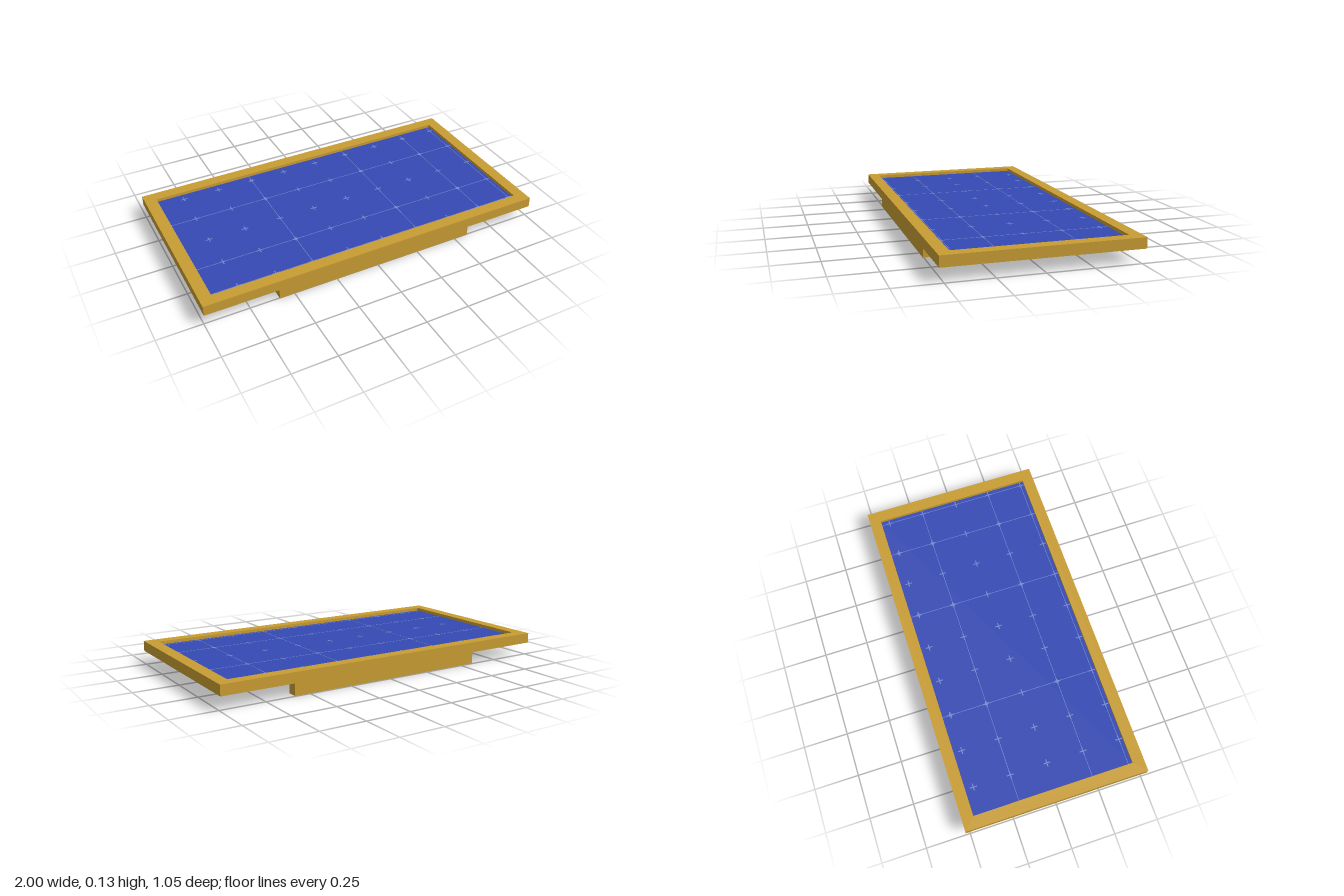
import * as THREE from 'three';

export function createModel() {
  const model = new THREE.Group();
  const wood = new THREE.MeshStandardMaterial({ color: 0xc99d33 });
  wood.name = 'golden wood';
  const blue = new THREE.MeshStandardMaterial({ color: 0x3549b4 });
  blue.name = 'blue panel';
  const pale = new THREE.MeshStandardMaterial({ color: 0x7388d0 });
  pale.name = 'pale blue markings';

  const HX = 1, HZ = 0.523;          // outer half sizes
  const IX = 0.933, IZ = 0.457;      // inner half sizes of the recess
  const BOTTOM = 0.075, TOP = 0.133, PANEL = 0.115;

  function box(name, material, size, position, parent = model) {
    const mesh = new THREE.Mesh(new THREE.BoxGeometry(...size), material);
    mesh.name = name;
    mesh.position.set(...position);
    parent.add(mesh);
    return mesh;
  }

  function rectangle(path, x, z) {
    return path.moveTo(-x, -z).lineTo(x, -z).lineTo(x, z).lineTo(-x, z).closePath();
  }

  // Raised rim around the recess
  const outline = rectangle(new THREE.Shape(), HX, HZ);
  outline.holes.push(rectangle(new THREE.Path(), IX, IZ));
  const rimGeometry = new THREE.ExtrudeGeometry(outline, { depth: TOP - BOTTOM, bevelEnabled: false });
  rimGeometry.rotateX(-Math.PI / 2);
  const rim = new THREE.Mesh(rimGeometry, wood);
  rim.name = 'rim';
  rim.position.y = BOTTOM;
  model.add(rim);

  // Wooden underside and the sunken blue panel on it
  const floorHeight = PANEL - 0.008 - BOTTOM;
  box('baseBoard', wood, [IX * 2, floorHeight, IZ * 2], [0, BOTTOM + floorHeight / 2, 0]);
  box('panel', blue, [IX * 2, 0.008, IZ * 2], [0, PANEL - 0.004, 0]);

  // Two long runners underneath
  box('frontRunner', wood, [1.17, BOTTOM, 0.056], [0, BOTTOM / 2, 0.476]);
  box('backRunner', wood, [1.17, BOTTOM, 0.056], [0, BOTTOM / 2, -0.468]);

  // Flat markings, clipped at the edges of the panel
  const markings = new THREE.Group();
  markings.name = 'markings';
  model.add(markings);
  function mark(name, x, z, w, d) {
    const x0 = Math.max(x - w / 2, -IX), x1 = Math.min(x + w / 2, IX);
    const z0 = Math.max(z - d / 2, -IZ), z1 = Math.min(z + d / 2, IZ);
    box(name, pale, [x1 - x0, 0.001, z1 - z0], [(x0 + x1) / 2, PANEL + 0.0005, (z0 + z1) / 2], markings);
  }

  // Grid of small crosses, some with a diamond at the centre
  const columns = Array.from({ length: 9 }, (_, i) => -0.784 + i * 0.2118);
  const rows = Array.from({ length: 5 }, (_, i) => -0.41 + i * 0.2115);
  columns.forEach((x, i) => rows.forEach((z, j) => {
    mark('crossBar', x, z, 0.04, 0.006);
    mark('crossBar', x, z, 0.006, 0.04);
    if ([2, 5, 7].includes(i) && [0, 1, 3].includes(j)) {
      const diamond = box('diamond', pale, [0.02, 0.001, 0.02], [x, PANEL + 0.0006, z], markings);
      diamond.rotation.y = Math.PI / 4;
    }
  }));

  // Hairlines joining some of the crosses
  for (const i of [2, 5, 7, 8]) mark('hairline', columns[i], 0, 0.003, IZ * 2);
  for (const j of [1, 3, 4]) mark('hairline', 0, rows[j], IX * 2, 0.003);

  return model;
}
